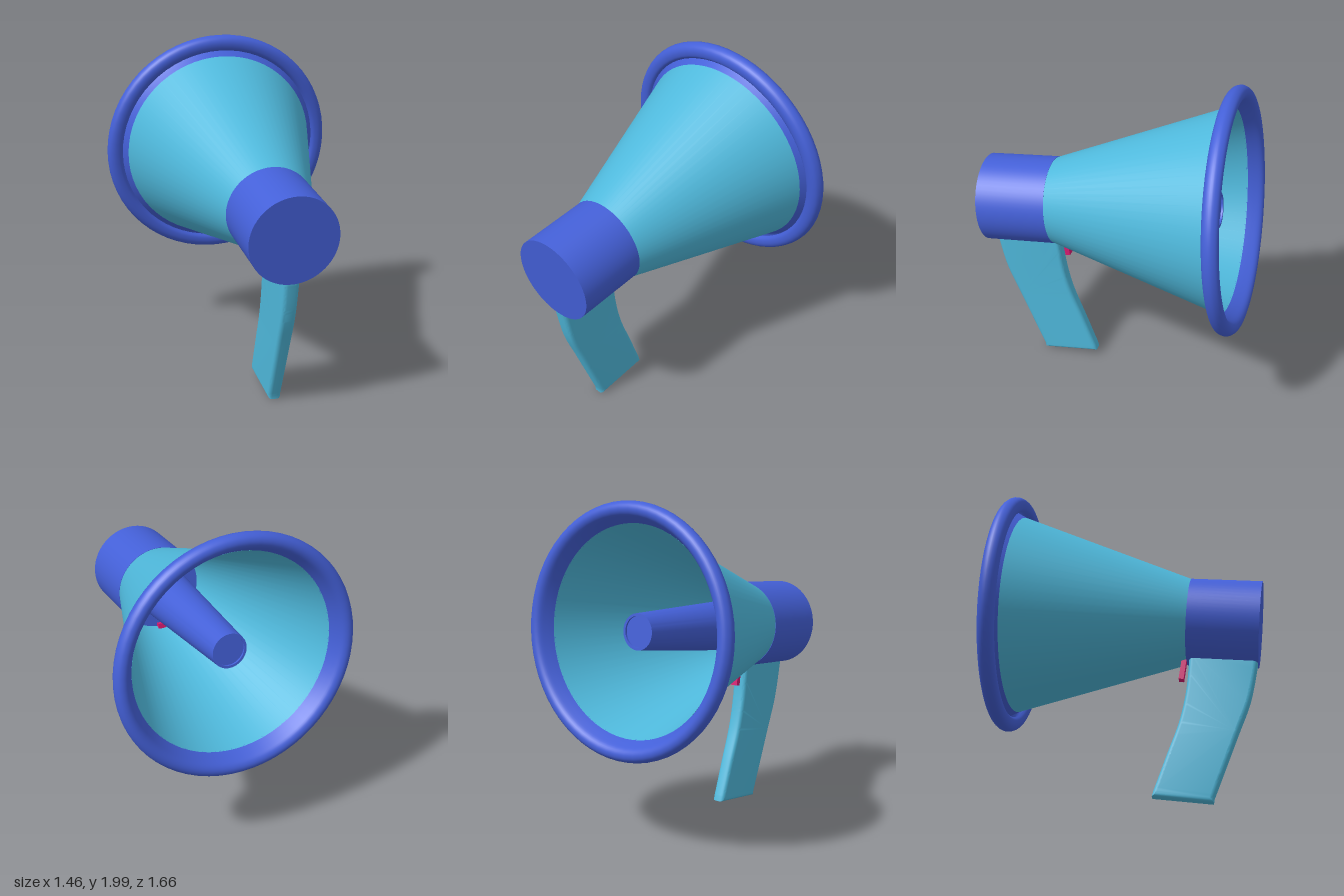
import * as THREE from 'three';
import { toCreasedNormals } from 'three/addons/utils/BufferGeometryUtils.js';

const paint = (color) => new THREE.MeshStandardMaterial({ color, side: THREE.DoubleSide });
const teal = paint(0x4fb9dc), blue = paint(0x4460d8), pink = paint(0xd81b72);

function part(name, geometry, material) {
  const mesh = new THREE.Mesh(geometry, material);
  mesh.name = name;
  return mesh;
}

// Surface of revolution from [radius, distance along the axis] pairs
const turned = (points) => new THREE.LatheGeometry(points.map(([r, t]) => new THREE.Vector2(r, t)), 64);

export function createModel() {
  const model = new THREE.Group();

  // Everything round shares one axis, tilted slightly upward towards the bell
  const horn = new THREE.Group();
  horn.name = 'horn';
  horn.position.set(0, 1.115, 0.803);
  horn.rotation.x = -(Math.PI / 2 - 0.105);
  model.add(horn);

  const body = new THREE.CylinderGeometry(0.264, 0.264, 0.43, 64);
  body.translate(0, 0.215, 0);
  horn.add(part('body', body, blue));
  horn.add(part('bell', turned([[0.262, 0.43], [0.606, 1.478]]), teal));

  // Flared lip that rolls outward and back
  const lip = new THREE.SplineCurve([
    [0.604, 1.472], [0.625, 1.515], [0.65, 1.556], [0.68, 1.571], [0.71, 1.562],
    [0.728, 1.53], [0.718, 1.493], [0.69, 1.476], [0.655, 1.478], [0.636, 1.495],
  ].map(([r, t]) => new THREE.Vector2(r, t)));
  horn.add(part('rim', new THREE.LatheGeometry(lip.getPoints(36), 64), blue));

  // Tapered inner tube with a recessed tip
  const tube = turned([[0.165, 0.43], [0.105, 1.43], [0.09, 1.43], [0.09, 1.418], [0, 1.418]]);
  horn.add(part('innerTube', toCreasedNormals(tube, 0.6), blue));

  // Curved handle: side outline drawn in (z, y), inset by the bevel
  const b = 0.025;
  const outline = new THREE.Shape();
  outline.moveTo(0.775 - b, 0.95);
  outline.lineTo(0.772 - b, 0.85);
  outline.splineThru([[0.722, 0.63], [0.64, 0.42], [0.487, 0.035]]
    .map(([z, y]) => new THREE.Vector2(z - b, y)));
  outline.lineTo(0.487 - b, 0.008 + b);
  outline.lineTo(0.138 + b, 0.048 + b);
  outline.splineThru([[0.217, 0.285], [0.296, 0.495], [0.342, 0.69], [0.365, 0.885], [0.37, 0.95]]
    .map(([z, y]) => new THREE.Vector2(z + b, y)));
  outline.closePath();
  const grip = new THREE.ExtrudeGeometry(outline, {
    depth: 0.04, bevelSize: b, bevelThickness: b, bevelSegments: 4, curveSegments: 16,
  });
  grip.translate(0, 0, -0.02);
  grip.rotateY(-Math.PI / 2);
  // Slight narrowing towards the foot
  const p = grip.attributes.position;
  for (let i = 0; i < p.count; i++) p.setX(i, p.getX(i) * (0.88 + 0.2 * p.getY(i)));
  model.add(part('handle', toCreasedNormals(grip, 0.7), teal));

  // Trigger below the joint of body and bell
  const trigger = part('trigger', new THREE.BoxGeometry(0.05, 0.15, 0.03), pink);
  trigger.position.set(0, 0.85, 0.327);
  trigger.rotation.x = 0.16;
  model.add(trigger);

  return model;
}
